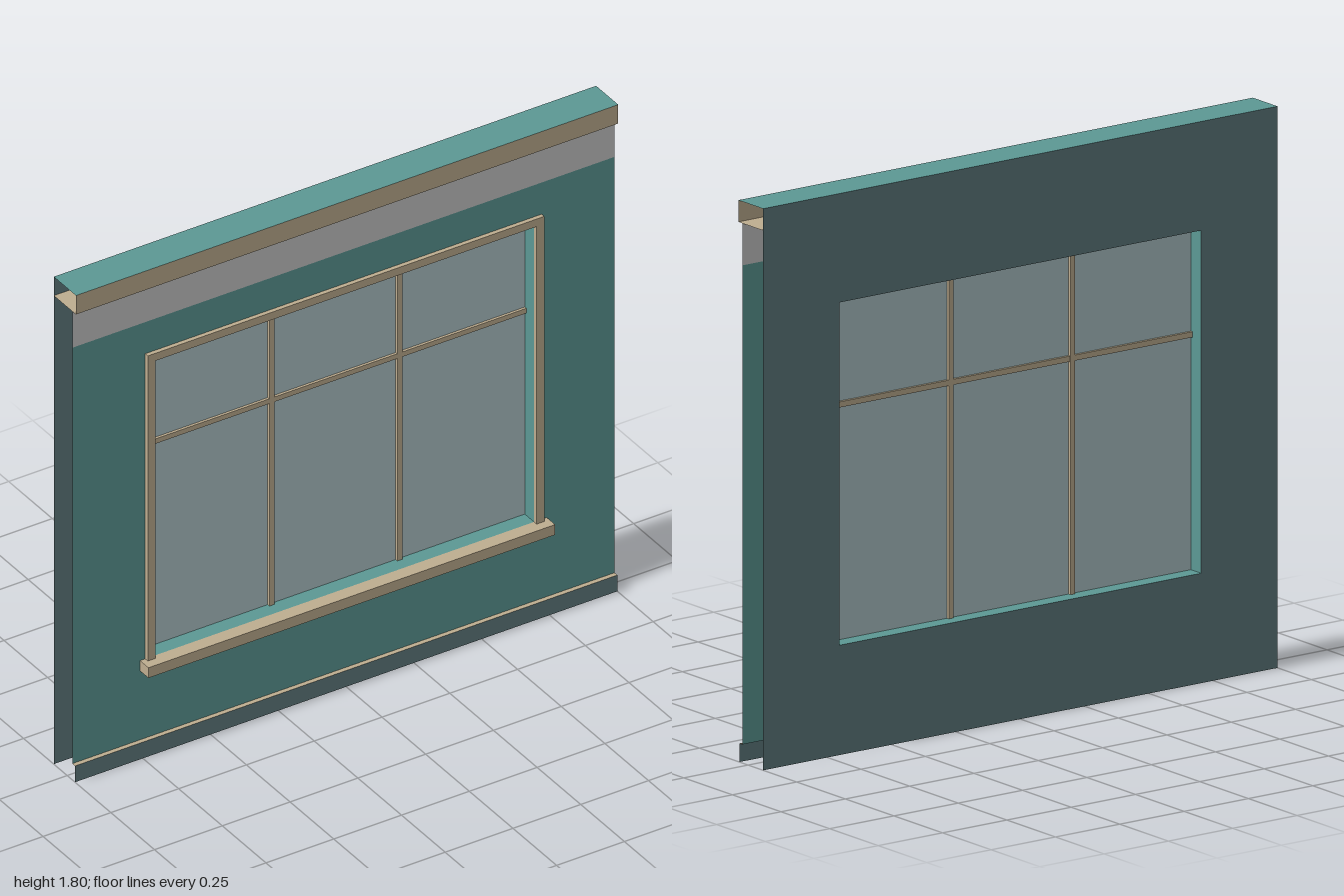
import * as THREE from 'three';

const mat = (name, color) => new THREE.MeshStandardMaterial({ name, color, side: THREE.DoubleSide });

export function createModel() {
  const teal = mat('teal wall', 0x5c9995);
  const slate = mat('slate', 0x607b7f);
  const tan = mat('tan trim', 0xbfae90);
  const grey = mat('pale grey', 0xc8c8c8);
  const glass = mat('glass', 0xafc6c9);

  const model = new THREE.Group();
  model.name = 'windowWall';

  const add = (name, geometry, material, x = 0, y = 0, z = 0) => {
    const mesh = new THREE.Mesh(geometry, material);
    mesh.name = name;
    mesh.position.set(x, y, z);
    model.add(mesh);
    return mesh;
  };
  const box = (name, material, x0, x1, y0, y1, z0, z1) =>
    add(name, new THREE.BoxGeometry(x1 - x0, y1 - y0, z1 - z0), material,
      (x0 + x1) / 2, (y0 + y1) / 2, (z0 + z1) / 2);
  // Upright sheet facing the front
  const sheet = (name, material, x, y0, y1, z) =>
    add(name, new THREE.PlaneGeometry(2 * x, y1 - y0), material, 0, (y0 + y1) / 2, z);
  // Level sheet facing up
  const shelf = (name, material, x, y, z0, z1) =>
    add(name, new THREE.PlaneGeometry(2 * x, z1 - z0).rotateX(-Math.PI / 2), material, 0, y, (z0 + z1) / 2);

  const back = -0.077, front = 0.029, proud = 0.05, top = 1.805;
  const ox = 0.703, oy0 = 0.353, oy1 = 1.455;

  // Wall sheet with the window opening
  const wall = (y0, y1) => {
    const s = new THREE.Shape([[-1, y0], [1, y0], [1, y1], [-1, y1]].map(p => new THREE.Vector2(...p)));
    s.holes.push(new THREE.Path([[-ox, oy0], [-ox, oy1], [ox, oy1], [ox, oy0]].map(p => new THREE.Vector2(...p))));
    return new THREE.ShapeGeometry(s);
  };
  add('frontWall', wall(0.06, 1.6), teal, 0, 0, front);
  add('backWall', wall(0, top).rotateY(Math.PI), slate, 0, 0, back);

  // Upper band, cornice and cap
  sheet('upperBand', grey, 1, 1.6, 1.735, front);
  sheet('corniceFace', tan, 1, 1.735, top, proud);
  shelf('corniceUnderside', tan, 1, 1.735, back, proud);
  shelf('wallCap', teal, 1, top, back, proud);

  // Skirting
  sheet('skirting', slate, 1, 0, 0.06, 0.045);
  shelf('skirtingLip', tan, 1, 0.06, front, 0.045);

  // Lining of the opening
  shelf('revealBottom', teal, ox, oy0, back, front);
  shelf('revealTop', teal, ox, oy1, back, front);
  for (const s of [-1, 1]) {
    const side = add(s > 0 ? 'revealLeft' : 'revealRight',
      new THREE.PlaneGeometry(front - back, oy1 - oy0), teal, s * ox, (oy0 + oy1) / 2, (front + back) / 2);
    side.rotation.y = -s * Math.PI / 2;
  }

  // Glass and glazing bars
  sheet('glassPane', glass, ox, oy0, oy1, -0.024);
  for (const x of [-0.236, 0.236]) box('uprightBar', tan, x - 0.009, x + 0.009, oy0, oy1, -0.034, -0.014);
  box('crossBar', tan, -ox, ox, 1.102, 1.12, -0.033, -0.015);

  // Casing and sill
  for (const x of [-0.717, 0.717]) box('sideCasing', tan, x - 0.014, x + 0.014, 0.353, 1.455, front, 0.044);
  box('topCasing', tan, -0.731, 0.731, 1.455, 1.483, front, 0.044);
  box('sill', tan, -0.75, 0.75, 0.315, 0.353, front, 0.077);

  return model;
}
